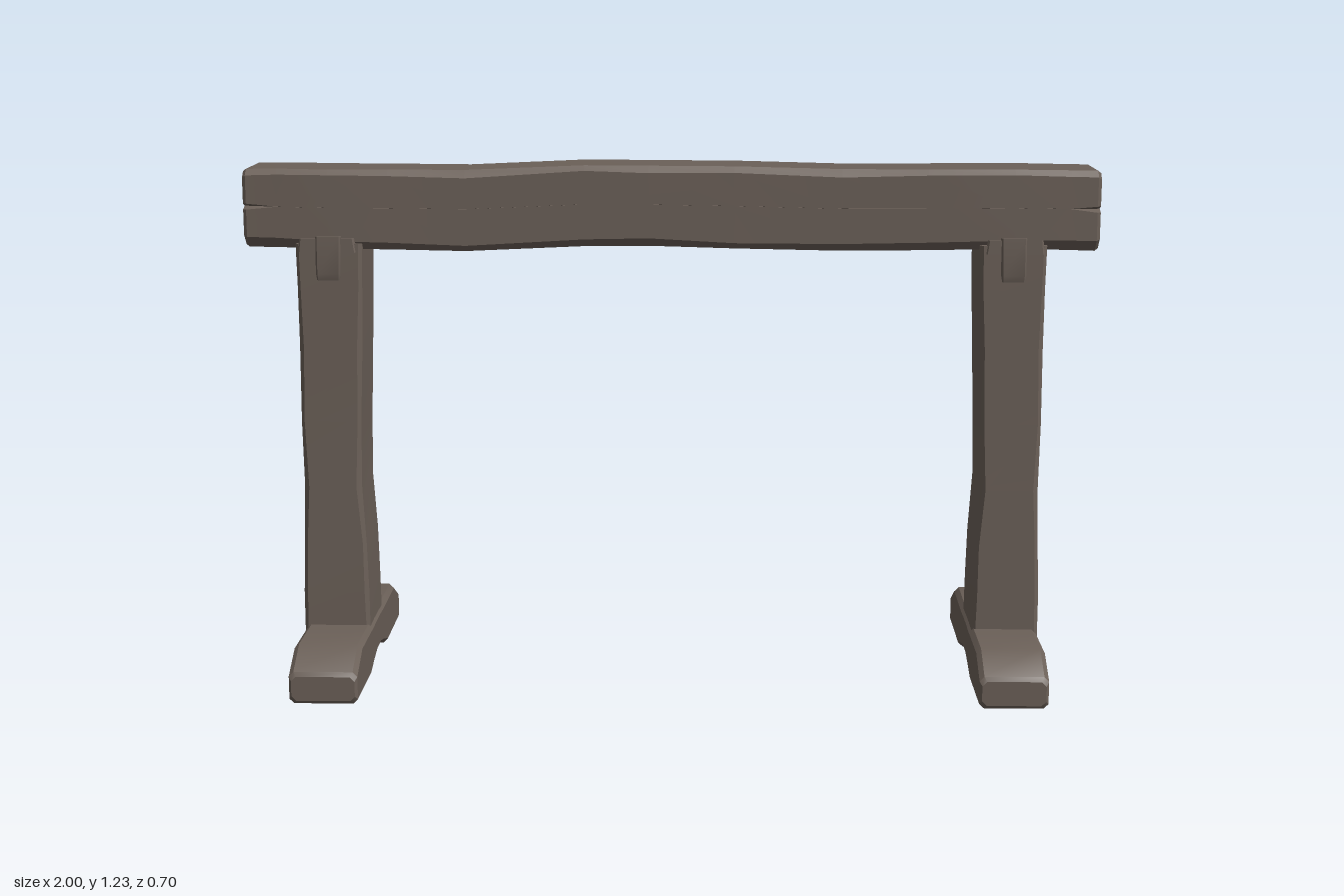
import * as THREE from 'three';
import { toCreasedNormals } from 'three/addons/utils/BufferGeometryUtils.js';

// Places (along, u, v) on the x, y or z axis, keeping a right-handed frame
const place = {
  x: (t, u, v) => [t, u, v],
  y: (t, u, v) => [v, t, u],
  z: (t, u, v) => [u, v, t],
};

// Bevelled rectangle; c0 and c1 bevel the low-u and high-u corners,
// split is the depth of a drying crack in the middle of both v sides
function ring(u0, u1, v0, v1, c0, c1, split) {
  const m = (u0 + u1) / 2 + 0.005, h = split * 0.35;
  const pts = [[u0 + c0, v0]];
  if (split) pts.push([m - h, v0], [m, v0 + split], [m + h, v0]);
  pts.push([u1 - c1, v0], [u1, v0 + c1], [u1, v1 - c1], [u1 - c1, v1]);
  if (split) pts.push([m + h, v1], [m, v1 - split], [m - h, v1]);
  pts.push([u0 + c0, v1], [u0, v1 - c0], [u0, v0 + c0]);
  return pts;
}

// Skins a timber through sections [t, u0, u1, v0, v1, c0, c1, split] and caps its ends
function timber(axis, sections) {
  const rings = sections.map(([t, u0, u1, v0, v1, c0, c1 = c0, split = 0]) =>
    ring(u0, u1, v0, v1, c0, c1, split).map(([u, v]) => place[axis](t, u, v)));
  const n = rings[0].length, last = rings.length - 1;
  const pos = rings.flat(2), index = [];
  for (let k = 0; k < last; k++) {
    for (let j = 0; j < n; j++) {
      const a = k * n + j, b = k * n + (j + 1) % n;
      index.push(a, b, b + n, a, b + n, a + n);
    }
  }
  for (const k of [0, last]) {
    const [t, u0, u1, v0, v1] = sections[k];
    const centre = pos.length / 3;
    pos.push(...place[axis](t, (u0 + u1) / 2, (v0 + v1) / 2));
    for (let j = 0; j < n; j++) {
      const a = k * n + j, b = k * n + (j + 1) % n;
      if (k) index.push(centre, a, b);
      else index.push(centre, b, a);
    }
  }
  const geo = new THREE.BufferGeometry();
  geo.setAttribute('position', new THREE.Float32BufferAttribute(pos, 3));
  geo.setIndex(index);
  return toCreasedNormals(geo, 0.5);
}

export function createModel() {
  const wood = new THREE.MeshStandardMaterial({ color: 0x6b6058 });
  wood.name = 'weathered wood';
  const model = new THREE.Group();
  model.name = 'trestle';
  const add = (parent, name, geo) => {
    const mesh = new THREE.Mesh(geo, wood);
    mesh.name = name;
    parent.add(mesh);
  };

  // Hewn top beam: wavy along its length, cracked at both ends
  const crack = 0.0005;
  add(model, 'beam', timber('x', [
    [-1, 1.04, 1.212, -0.088, 0.082, 0.024, 0.014, 0.02],
    [-0.992, 1.034, 1.218, -0.094, 0.088, 0.026, 0.014, 0.02],
    [-0.92, 1.033, 1.219, -0.094, 0.088, 0.025, 0.013, crack],
    [-0.8, 1.031, 1.217, -0.096, 0.092, 0.02, 0.012, crack],
    [-0.66, 1.029, 1.217, -0.091, 0.087, 0.018, 0.014, crack],
    [-0.48, 1.026, 1.216, -0.09, 0.086, 0.014, 0.018, crack],
    [-0.2, 1.038, 1.228, -0.089, 0.085, 0.018, 0.012, crack],
    [-0.05, 1.039, 1.227, -0.09, 0.086, 0.02, 0.016, crack],
    [0.15, 1.034, 1.226, -0.089, 0.085, 0.014, 0.014, crack],
    [0.4, 1.029, 1.22, -0.09, 0.087, 0.018, 0.018, crack],
    [0.6, 1.031, 1.22, -0.092, 0.089, 0.02, 0.013, crack],
    [0.8, 1.035, 1.221, -0.097, 0.095, 0.022, 0.012, crack],
    [0.93, 1.032, 1.219, -0.095, 0.09, 0.025, 0.014, crack],
    [0.992, 1.03, 1.218, -0.095, 0.09, 0.026, 0.014, 0.02],
    [1, 1.036, 1.212, -0.089, 0.084, 0.024, 0.014, 0.02],
  ]));

  for (const [side, s] of [['left', 1], ['right', -1]]) {
    const trestle = new THREE.Group();
    trestle.name = side + 'Leg';
    model.add(trestle);
    // Sections are given as inner and outer x; mirror them for the other side
    const span = (inner, outer) => (s > 0 ? [inner, outer] : [-outer, -inner]);

    // Upright post, waisted on its inner face
    add(trestle, 'post', timber('y', [
      [0.09, -0.1, 0.1, ...span(0.726, 0.884), 0.008],
      [0.2, -0.098, 0.1, ...span(0.727, 0.884), 0.01],
      [0.32, -0.097, 0.099, ...span(0.73, 0.879), 0.008],
      [0.46, -0.096, 0.098, ...span(0.738, 0.875), 0.012],
      [0.62, -0.096, 0.097, ...span(0.735, 0.877), 0.008],
      [0.8, -0.095, 0.097, ...span(0.728, 0.876), 0.011],
      [0.94, -0.097, 0.098, ...span(0.724, 0.876), 0.008],
      [1.045, -0.098, 0.098, ...span(0.722, 0.878), 0.008],
    ]));

    // T-shaped joint on the front and back of the beam
    for (const [face, f] of [['front', 1], ['back', -1]]) {
      const depth = (a, b) => (f > 0 ? [a, b] : [-b, -a]);
      add(trestle, face + 'Peg', timber('y', [
        [0.96, ...depth(0.08, 0.102), ...span(0.775, 0.828), 0.003],
        [0.975, ...depth(0.08, 0.106), ...span(0.772, 0.83), 0.004],
        [1.063, ...depth(0.08, 0.104), ...span(0.77, 0.83), 0.004],
      ]));
      add(trestle, face + 'Collar', timber('y', [
        [1.025, ...depth(0.08, 0.101), ...span(0.735, 0.872), 0.004],
        [1.058, ...depth(0.08, 0.101), ...span(0.74, 0.868), 0.004],
      ]));
    }

    // Foot: sloped toes and a shallow arch underneath
    const half = [
      [0.35, 0.01, 0.068],
      [0.343, 0.002, 0.078],
      [0.26, 0.001, 0.12],
      [0.14, 0, 0.119],
      [0.08, 0.018, 0.118],
      [0.03, 0.029, 0.12],
    ];
    const stations = [
      ...half.map(([z, y0, y1]) => [-z, y0, y1]),
      ...half.slice().reverse(),
    ];
    add(trestle, 'foot', timber('z', stations.map(([z, y0, y1], i) => {
      const inset = i === 0 || i === stations.length - 1 ? 0.006 : 0;
      return [z, ...span(0.72 + inset, 0.88 - inset), y0, y1, 0.011];
    })));
  }
  return model;
}
